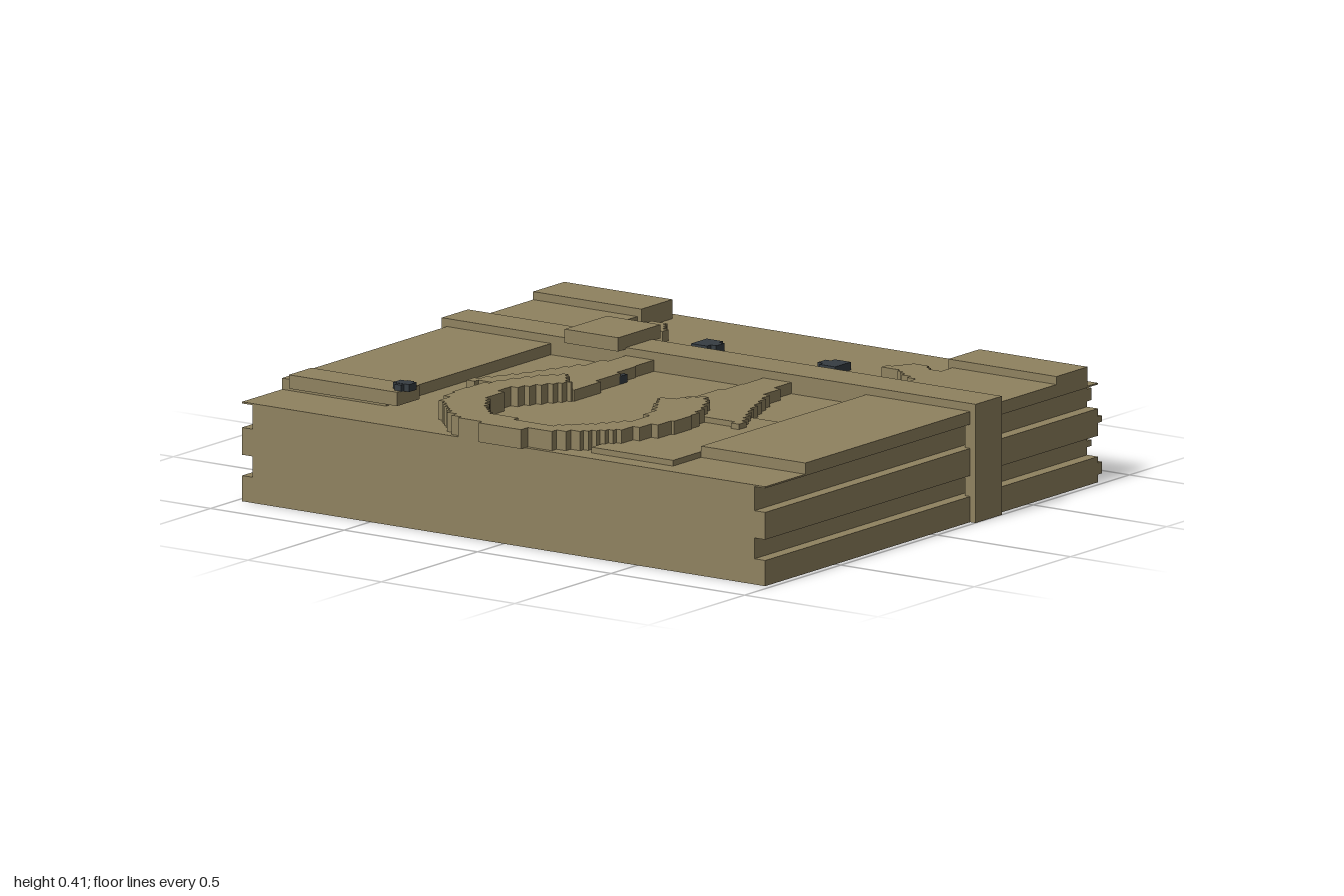
import * as THREE from 'three';

export function createModel() {
  const model = new THREE.Group();
  model.name = 'strappedBook';
  const tan = new THREE.MeshStandardMaterial({ color: 0x8f825f });
  tan.name = 'tan';
  const dark = new THREE.MeshStandardMaterial({ color: 0x363d42 });
  dark.name = 'darkStud';

  const add = (name, geometry, material) => {
    const mesh = new THREE.Mesh(geometry, material);
    mesh.name = name;
    model.add(mesh);
    return mesh;
  };
  // Box from its lower and upper limits
  const box = (name, x0, x1, y0, y1, z0, z1, material = tan) => {
    const mesh = add(name, new THREE.BoxGeometry(Math.abs(x1 - x0), y1 - y0, z1 - z0), material);
    mesh.position.set((x0 + x1) / 2, (y0 + y1) / 2, (z0 + z1) / 2);
    return mesh;
  };
  // Turn an outline into a staircase of small square steps
  const stair = (points, step = 0.02) => {
    const out = [];
    const put = (x, z) => {
      const last = out[out.length - 1];
      if (!last || Math.abs(last.x - x) + Math.abs(last.y + z) > 1e-4) out.push(new THREE.Vector2(x, -z));
    };
    points.forEach(([x0, z0], i) => {
      const [x1, z1] = points[(i + 1) % points.length];
      const dx = x1 - x0, dz = z1 - z0;
      const n = Math.max(1, Math.round(Math.min(Math.abs(dx), Math.abs(dz)) / step));
      for (let k = 0; k < n; k++) {
        const x = x0 + (dx * k) / n, z = z0 + (dz * k) / n;
        put(x, z);
        put(x, z + dz / n);
      }
    });
    return new THREE.Shape(out);
  };
  const relief = (name, points, y0, y1) => {
    const geo = new THREE.ExtrudeGeometry(stair(points), { depth: y1 - y0, bevelEnabled: false });
    geo.rotateX(-Math.PI / 2);
    geo.translate(0, y0, 0);
    return add(name, geo, tan);
  };

  // Page block with wider layers that leave grooves along both sides
  box('pageBlock', -0.94, 0.94, 0, 0.31, -0.848, 0.865);
  const layers = [[0, 0.08], [0.145, 0.23], [0.305, 0.31]];
  for (const s of [-1, 1]) {
    for (const [y0, y1] of layers) box('layerRim', s * 0.94, s * 0.98, y0, y1, -0.863, 0.865);
  }

  // Ridged back edge
  const ridges = [
    [0, 0.024, 0.863, 0.98], [0.024, 0.06, 0.885, 0.98], [0.06, 0.08, 0.863, 0.98],
    [0.08, 0.104, 0.863, 0.94], [0.104, 0.123, 0.885, 0.94], [0.123, 0.145, 0.863, 0.94],
    [0.166, 0.185, 0.863, 0.98], [0.185, 0.204, 0.885, 0.98], [0.204, 0.23, 0.863, 0.98],
    [0.23, 0.247, 0.863, 0.94], [0.247, 0.285, 0.885, 0.94], [0.285, 0.31, 0.863, 0.94],
  ];
  for (const [y0, y1, z, x] of ridges) box('backRidge', -x, x, y0, y1, -z, -0.84);

  for (const s of [-1, 1]) {
    // Side panels and rear corner blocks
    box('sidePanel', s * 0.59, s * 0.98, 0.31, 0.345, -0.65, 0.657);
    box('rearCorner', s * 0.575, s * 0.98, 0.31, 0.37, -0.81, -0.648);

    // Hooked points beside the panels
    relief('hookRelief', [
      [0.59, -0.57], [0.54, -0.59], [0.5, -0.625], [0.46, -0.625], [0.43, -0.58],
      [0.41, -0.56], [0.41, -0.54], [0.48, -0.53], [0.52, -0.5], [0.59, -0.46],
    ].map(([x, z]) => [s * x, z]), 0.31, 0.345);

    // Flaring reliefs that run forward from the strap
    relief('flareRelief', [
      [0.22, -0.2], [0.31, -0.2], [0.36, -0.02], [0.43, 0.16], [0.51, 0.31], [0.51, 0.35],
      [0.48, 0.35], [0.48, 0.33], [0.3, 0.33], [0.24, 0.29], [0.165, 0.27], [0.165, 0.2],
      [0.185, 0.13], [0.2, 0.0], [0.205, -0.1],
    ].map(([x, z]) => [s * x, z]), 0.31, 0.345);

    // Dark studs
    box('rearStud', s * 0.21, s * 0.27, 0.31, 0.335, -0.565, -0.483, dark);
    box('rearStudTab', s * 0.19, s * 0.21, 0.31, 0.335, -0.545, -0.503, dark);
    box('midStud', s * 0.19, s * 0.27, 0.31, 0.335, -0.402, -0.338, dark);
    box('midStudTab', s * 0.21, s * 0.25, 0.31, 0.335, -0.425, -0.402, dark);
    box('smallStud', s * 0.185, s * 0.21, 0.31, 0.335, -0.035, 0.005, dark);

    // Strap sides
    box('strapSide', s * 0.96, s * 1, 0, 0.37, -0.337, -0.2);
  }

  // Raised horseshoe ring
  const half = [
    [0.08, 0.885], [0.08, 0.865], [0.17, 0.85], [0.24, 0.8], [0.33, 0.71], [0.38, 0.59],
    [0.39, 0.52], [0.385, 0.43], [0.35, 0.33], [0.31, 0.25], [0.26, 0.195], [0.24, 0.215],
    [0.2, 0.27], [0.17, 0.28], [0.2, 0.33], [0.26, 0.43], [0.285, 0.5], [0.26, 0.6],
    [0.2, 0.69], [0.13, 0.76], [0.02, 0.785],
  ];
  const mirrored = half.map(([x, z]) => [-x, z]).reverse();
  relief('horseshoeRing', [...half, ...mirrored], 0.31, 0.37);

  // Low plate beside the ring
  box('lowPlate', 0.285, 0.59, 0.31, 0.328, 0.195, 0.803);

  // Strap across the top with its buckle
  box('strapTop', -1, 1, 0.31, 0.37, -0.337, -0.2);
  box('buckle', -0.51, -0.31, 0.365, 0.408, -0.38, -0.16);

  // Clasp plate with its dark knob
  box('claspPlate', -0.88, -0.475, 0.345, 0.388, 0.643, 0.76);
  box('claspKnob', -0.515, -0.455, 0.385, 0.408, 0.685, 0.725, dark);
  box('claspKnobTab', -0.497, -0.473, 0.386, 0.407, 0.675, 0.742, dark);

  return model;
}
